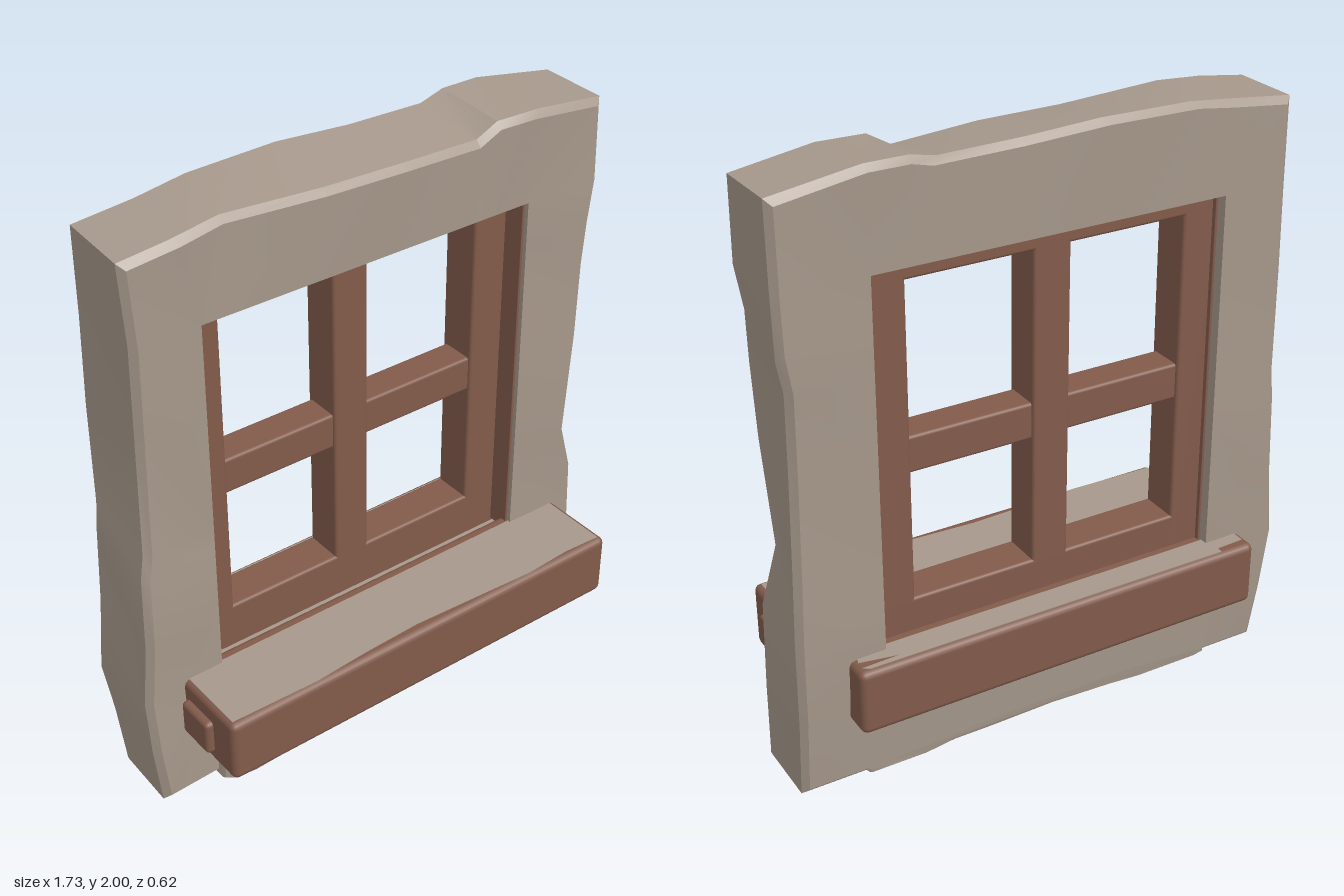
import * as THREE from 'three';
import { toCreasedNormals } from 'three/addons/utils/BufferGeometryUtils.js';
import { RoundedBoxGeometry } from 'three/addons/geometries/RoundedBoxGeometry.js';

const stone = new THREE.MeshStandardMaterial({ color: 0xa6988b });
stone.name = 'stone';
const wood = new THREE.MeshStandardMaterial({ color: 0x825b4b });
wood.name = 'wood';

// Opening in the stone surround
const OPEN = { x0: -0.585, x1: 0.577, y0: 0.45, y1: 1.69 };

function add(parent, name, geometry, material) {
  const mesh = new THREE.Mesh(geometry, material);
  mesh.name = name;
  parent.add(mesh);
  return mesh;
}

// Softened box given by its limits on each axis
function block(parent, name, [x0, x1], [y0, y1], [z0, z1], radius, material = wood) {
  const g = new RoundedBoxGeometry(x1 - x0, y1 - y0, z1 - z0, 2, radius);
  g.translate((x0 + x1) / 2, (y0 + y1) / 2, (z0 + z1) / 2);
  return add(parent, name, g, material);
}

// Chipped stone surround: outline stations clockwise, [front x, front y, back x, back y]
function surroundGeometry() {
  const stations = [
    [-0.82, 1.95, -0.81, 1.955], [-0.66, 1.97, -0.62, 1.975], [-0.5, 1.985, -0.45, 1.995],
    [-0.17, 1.965, -0.15, 2.0], [0.1, 1.96, 0.1, 1.985], [0.38, 1.945, 0.36, 1.98],
    [0.45, 1.985, 0.45, 2.0], [0.6, 1.985, 0.58, 2.0], [0.86, 1.95, 0.86, 1.955],
    [0.86, 1.69, 0.86, 1.7], [0.835, 1.55, 0.86, 1.5], [0.838, 1.4, 0.84, 1.4],
    [0.825, 1.15, 0.84, 1.15], [0.795, 0.78, 0.85, 0.85], [0.855, 0.6, 0.86, 0.6],
    [0.86, 0.3, 0.86, 0.3], [0.86, 0.04, 0.86, 0.04], [0.62, 0.04, 0.62, 0.04],
    [0.2, 0.07, 0.2, 0.06], [-0.3, 0.06, -0.3, 0.06], [-0.6, 0.04, -0.6, 0.04],
    [-0.82, 0.04, -0.815, 0.04], [-0.845, 0.25, -0.83, 0.25], [-0.85, 0.45, -0.865, 0.45],
    [-0.835, 0.66, -0.84, 0.7], [-0.832, 0.93, -0.825, 0.95], [-0.812, 1.0, -0.82, 1.06],
    [-0.81, 1.4, -0.822, 1.4], [-0.808, 1.7, -0.81, 1.68],
  ];
  const clamp = THREE.MathUtils.clamp;
  const inset = (p, q, d) => p + clamp(q - p, -d, d);
  const pos = [], index = [], n = stations.length, rings = 6;
  stations.forEach(([xf, yf, xb, yb], i) => {
    const xi = clamp(xf, OPEN.x0, OPEN.x1), yi = clamp(yf, OPEN.y0, OPEN.y1);
    const zf = 0.055 + 0.008 * Math.sin(i * 2.1);
    const zb = yf < 0.2 ? -0.205 : -0.228 + 0.006 * Math.sin(i * 1.7);
    const d = 0.02;
    pos.push(xi, yi, 0.05);
    pos.push(inset(xf, xi, d), inset(yf, yi, d), zf);
    pos.push(xf, yf, zf - d);
    pos.push(xb, yb, zb + d);
    pos.push(inset(xb, xi, d), inset(yb, yi, d), zb);
    pos.push(xi, yi, -0.225);
    for (let j = 0; j < rings; j++) {
      const a = i * rings + j, b = ((i + 1) % n) * rings + j;
      const k = (j + 1) % rings - j;
      index.push(a, b, b + k, a, b + k, a + k);
    }
  });
  const g = new THREE.BufferGeometry();
  g.setAttribute('position', new THREE.Float32BufferAttribute(pos, 3));
  g.setIndex(index);
  return toCreasedNormals(g, 0.5);
}

// Rough stone under the sill, its underside rising towards the back
function apronGeometry() {
  const outline = [
    [-0.61, 0.3], [-0.62, 0.04], [-0.58, 0.015], [-0.5, 0.004], [-0.35, 0.012], [-0.02, 0.05],
    [0.22, 0.045], [0.34, 0.045], [0.44, 0.02], [0.54, 0.01], [0.64, 0.02], [0.66, 0.06], [0.68, 0.3],
  ].map(([x, y]) => new THREE.Vector2(x, y));
  const g = new THREE.ExtrudeGeometry(new THREE.Shape(outline), {
    depth: 0.26, steps: 2, bevelEnabled: true, bevelThickness: 0.015,
    bevelSize: 0.015, bevelOffset: -0.015, bevelSegments: 2,
  });
  g.translate(0, 0, -0.19);
  const p = g.attributes.position;
  for (let i = 0; i < p.count; i++) {
    const t = THREE.MathUtils.clamp((0.07 - p.getZ(i)) / 0.26, 0, 1);
    p.setY(i, Math.max(p.getY(i), 0.04 * t));
  }
  return toCreasedNormals(g, 0.6);
}

// Thin worn patch lying on a sill, from an outline of [x, z]
function wornPatch(parent, name, points) {
  const shape = new THREE.Shape(points.map(([x, z]) => new THREE.Vector2(x, -z)));
  const g = new THREE.ExtrudeGeometry(shape, { depth: 0.005, bevelEnabled: false });
  g.rotateX(-Math.PI / 2).translate(0, 0.487, 0);
  add(parent, name, g, stone);
}

export function createModel() {
  const model = new THREE.Group();
  model.name = 'window';

  add(model, 'stoneSurround', surroundGeometry(), stone);
  add(model, 'stoneApron', apronGeometry(), stone);

  // Front and back sills
  block(model, 'frontSill', [-0.72, 0.775], [0.27, 0.49], [0, 0.308], 0.022);
  block(model, 'backSill', [-0.72, 0.7], [0.27, 0.49], [-0.308, -0.15], 0.022);
  block(model, 'leftSillEnd', [0.7, 0.785], [0.33, 0.41], [0.1, 0.25], 0.01);
  block(model, 'rightSillEnd', [-0.745, -0.68], [0.31, 0.43], [0.06, 0.2], 0.015);
  wornPatch(model, 'frontSillTop', [
    [-0.705, 0.04], [-0.705, 0.285], [-0.4, 0.292], [-0.2, 0.278], [0, 0.27], [0.2, 0.28],
    [0.45, 0.292], [0.62, 0.282], [0.755, 0.288], [0.755, 0.04],
  ]);
  wornPatch(model, 'backSillTop', [
    [-0.7, -0.2], [0.66, -0.2], [0.68, -0.245], [0.55, -0.27], [0.68, -0.275], [0.66, -0.288],
    [-0.6, -0.291], [-0.6, -0.27], [-0.7, -0.265],
  ]);

  // Casement bars
  const casement = new THREE.Group();
  casement.name = 'casement';
  model.add(casement);
  const z = [-0.175, -0.04], r = 0.01;
  block(casement, 'rightStile', [-0.61, -0.475], [0.43, 1.71], z, r);
  block(casement, 'leftStile', [0.45, 0.6], [0.43, 1.71], z, r);
  block(casement, 'topRail', [-0.6, 0.59], [1.63, 1.71], z, r);
  block(casement, 'bottomRail', [-0.6, 0.59], [0.42, 0.602], z, r);
  block(casement, 'verticalBar', [-0.083, 0.042], [0.5, 1.68], z, r);
  block(casement, 'crossBar', [-0.55, 0.55], [1.022, 1.142], [-0.165, -0.05], r);

  // Thin wooden lining of the opening
  const lz = [-0.19, 0.035], t = 0.008;
  block(casement, 'rightLining', [OPEN.x0 - 0.001, OPEN.x0 + t], [0.46, OPEN.y1], lz, 0.002);
  block(casement, 'leftLining', [OPEN.x1 - t, OPEN.x1 + 0.001], [0.46, OPEN.y1], lz, 0.002);
  block(casement, 'topLining', [OPEN.x0, OPEN.x1], [OPEN.y1 - t, OPEN.y1 + 0.001], lz, 0.002);

  return model;
}
